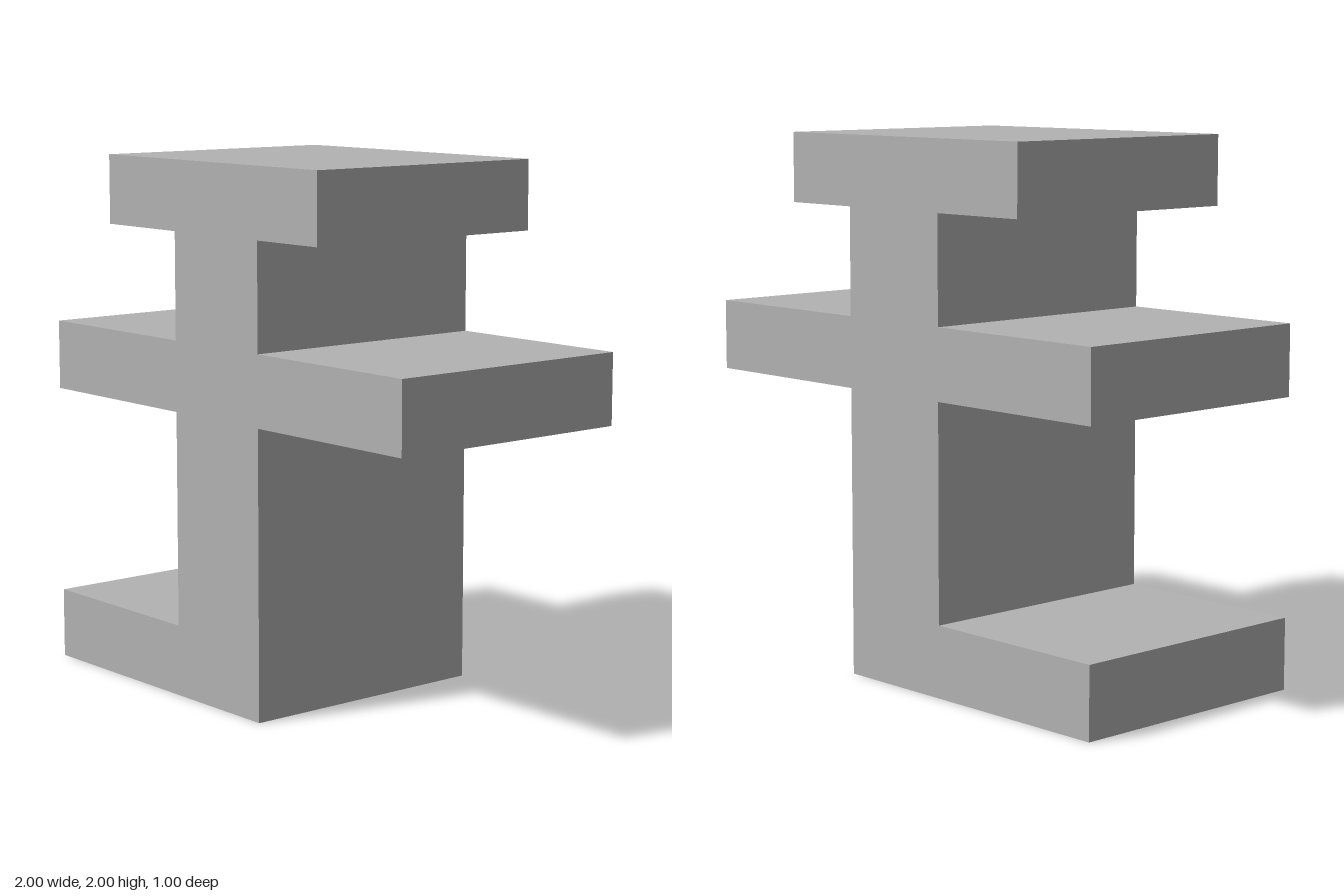
import * as THREE from 'three';

export function createModel() {
  const group = new THREE.Group();
  group.name = 'shelfStand';
  const grey = new THREE.MeshStandardMaterial({ color: 0xb2b2b2 });
  grey.name = 'plain grey';

  // Outline of the post with its foot, cross arms and cap, counter-clockwise
  const post = 0.24, depth = 1;
  const outline = [
    [-1, 0], [post, 0],
    [post, 1.075], [1, 1.075], [1, 1.34], [post, 1.34], // left arm
    [post, 1.74], [0.565, 1.74], [0.565, 2], [-0.645, 2], [-0.645, 1.74], [-post, 1.74], // cap
    [-post, 1.34], [-1, 1.34], [-1, 1.075], [-post, 1.075], // right arm
    [-post, 0.268], [-1, 0.268], // foot
  ];
  const shape = new THREE.Shape(outline.map(([x, y]) => new THREE.Vector2(x, y)));

  // One solid body, extruded front to back
  const geometry = new THREE.ExtrudeGeometry(shape, { depth, bevelEnabled: false });
  geometry.translate(0, 0, -depth / 2);
  const body = new THREE.Mesh(geometry, grey);
  body.name = 'postWithShelves';
  group.add(body);
  return group;
}
